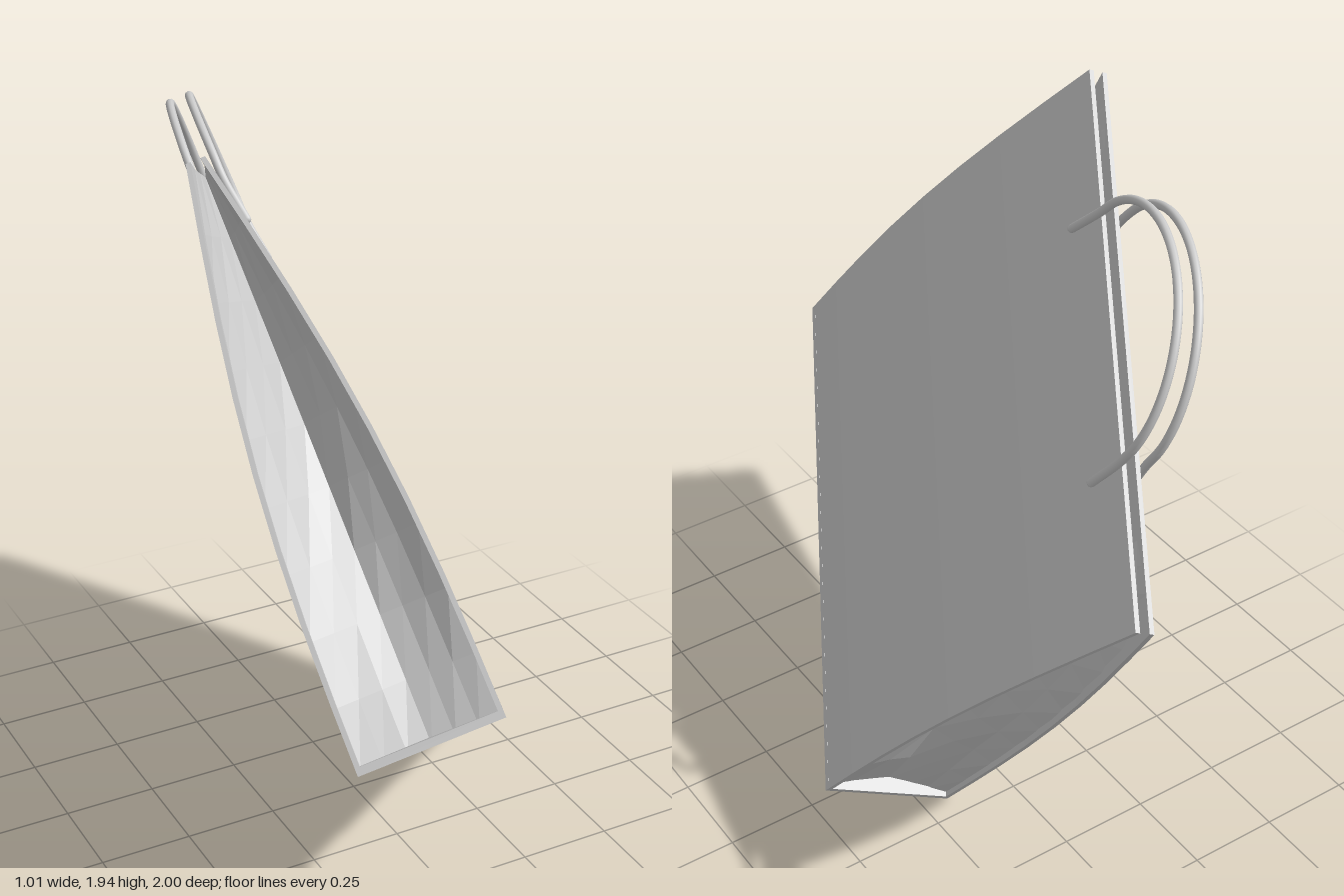
import * as THREE from 'three';
import { ParametricGeometry } from 'three/addons/geometries/ParametricGeometry.js';

const LENGTH = 1.445, HEIGHT = 1.44, BASE = 0.18, TOP = 0.024, WALL = 0.012;

// Half depth of the bag at height fraction t: tapering with a soft bulge
const halfDepth = (t) => BASE + (TOP - BASE) * t + 0.045 * Math.sin(Math.PI * t);

export function createModel() {
  const paper = new THREE.MeshStandardMaterial({ color: 0xcccccc, flatShading: true, side: THREE.DoubleSide });
  const cord = new THREE.MeshStandardMaterial({ color: 0xcccccc });

  // Bag is built upright (x along its length, y up, z through its depth)
  const bag = new THREE.Group();
  bag.name = 'paperBag';
  const add = (name, geometry, material) => {
    const mesh = new THREE.Mesh(geometry, material);
    mesh.name = name;
    bag.add(mesh);
    return mesh;
  };

  add('bottom', new THREE.BoxGeometry(LENGTH, 0.02, BASE * 2), paper).position.y = 0.01;

  for (const side of [1, -1]) {
    const label = side > 0 ? 'front' : 'back';

    // Bowed broad panel: thin curved profile swept along the length
    const outer = [], inner = [];
    for (let i = 0; i <= 8; i++) {
      const t = i / 8, d = halfDepth(t);
      outer.push(new THREE.Vector2(side * d, t * HEIGHT));
      inner.unshift(new THREE.Vector2(side * (d - WALL), t * HEIGHT));
    }
    const panel = new THREE.ExtrudeGeometry(new THREE.Shape([...outer, ...inner]), { depth: LENGTH, bevelEnabled: false });
    panel.translate(0, 0, -LENGTH / 2).rotateY(Math.PI / 2);
    add(label + 'Panel', panel, paper);

    // Gusset folded inwards, deeper where the panels come together
    const gusset = new ParametricGeometry((a, t, target) => {
      const f = a * 2 - 1;
      const d = halfDepth(t) - WALL / 2;
      const fold = 0.03 + Math.sqrt(Math.max(0, BASE * BASE - d * d)) * Math.min(1, t * 4);
      const crumple = 0.012 * Math.sin(t * 9 + f * 5 + side) * Math.sin(Math.PI * t) * (1 - f * f);
      const x = LENGTH / 2 - 0.012 - fold * Math.pow(1 - Math.abs(f), 0.85) + crumple;
      target.set(side * x, t * HEIGHT, side * d * f);
    }, 6, 9);
    add(side > 0 ? 'leftGusset' : 'rightGusset', gusset, paper);

    // Arched cord handle, its ends fixed outside the panel just below the rim
    const z = side * 0.034;
    const points = [new THREE.Vector3(-0.33, HEIGHT - 0.1, side * 0.05)];
    for (let i = 0; i <= 12; i++) {
      const a = Math.PI * (1 - i / 12);
      points.push(new THREE.Vector3(0.32 * Math.cos(a), HEIGHT + 0.01 + 0.3 * Math.sin(a), z - side * 0.008 * Math.sin(a)));
    }
    points.push(new THREE.Vector3(0.33, HEIGHT - 0.1, side * 0.05));
    const curve = new THREE.CatmullRomCurve3(points);
    add(label + 'Handle', new THREE.TubeGeometry(curve, 64, 0.011, 10), cord);

    // Rounded cord ends
    for (const end of [points[0], points[points.length - 1]]) {
      add(label + 'HandleEnd', new THREE.SphereGeometry(0.011, 10, 8), cord).position.copy(end);
    }
  }

  // Tilt the whole bag so that it balances on one bottom corner
  const along = new THREE.Vector3(0.442, -0.5, -0.746).normalize();
  const up = new THREE.Vector3(-0.108, 0.795, -0.597);
  const through = new THREE.Vector3().crossVectors(along, up).normalize();
  up.crossVectors(through, along);
  bag.quaternion.setFromRotationMatrix(new THREE.Matrix4().makeBasis(along, up, through));
  bag.position.set(0.02, 0.43, 0.405);

  const model = new THREE.Group();
  model.name = 'shoppingBag';
  model.add(bag);
  return model;
}
